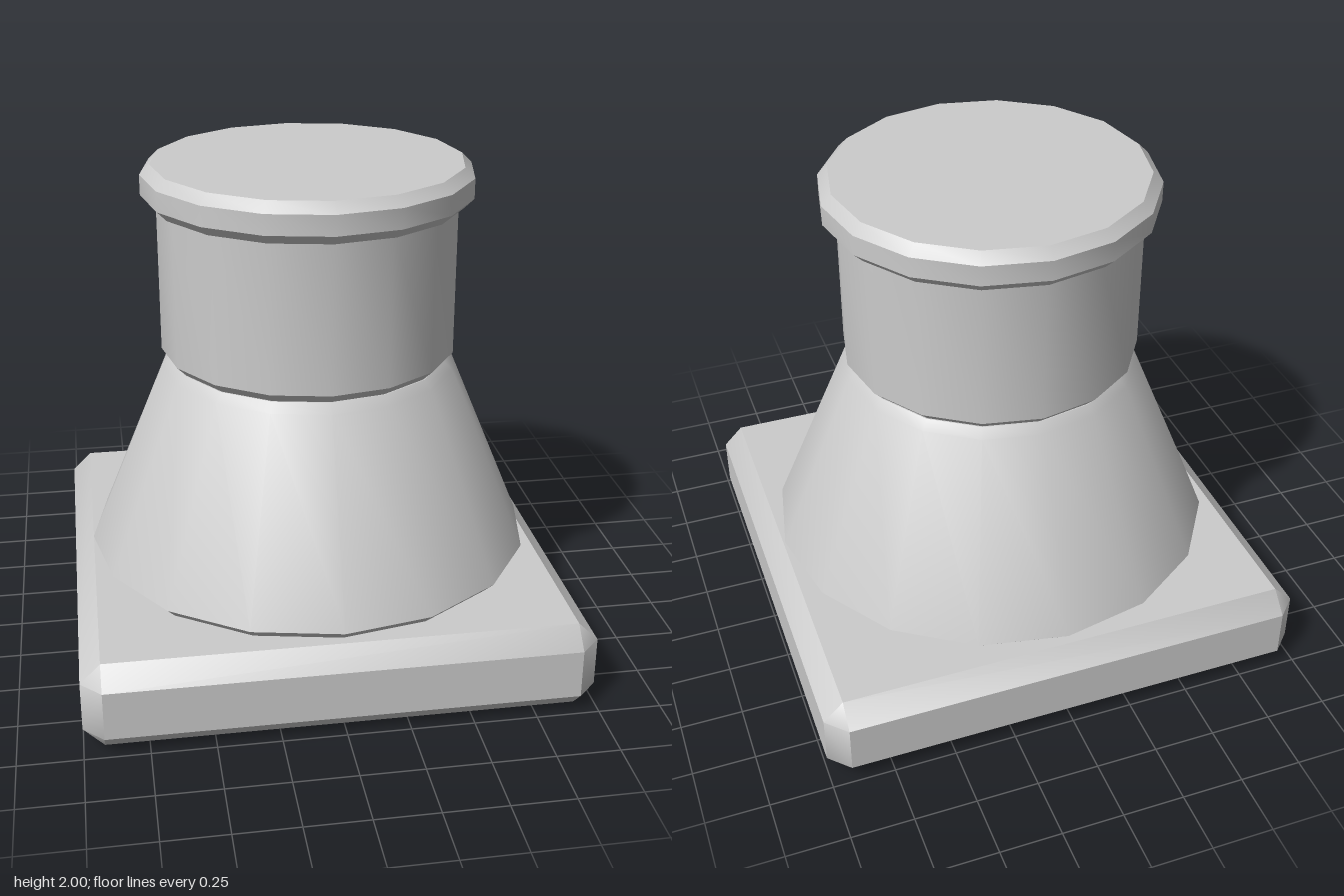
import * as THREE from 'three';
import { toCreasedNormals } from 'three/addons/utils/BufferGeometryUtils.js';
import { ConvexGeometry } from 'three/addons/geometries/ConvexGeometry.js';

const SIDES = 16;
const CREASE = 0.65; // keeps 45 degree bevel edges sharp, smooths around the turn

export function createModel() {
  const group = new THREE.Group();
  const material = new THREE.MeshStandardMaterial({ color: 0xcccccc });

  const add = (name, geometry) => {
    const mesh = new THREE.Mesh(toCreasedNormals(geometry, CREASE), material);
    mesh.name = name;
    group.add(mesh);
    return mesh;
  };

  // Turned solid from [radius, height] pairs, listed bottom to top
  const addTurned = (name, profile) =>
    add(name, new THREE.LatheGeometry(profile.map(([r, y]) => new THREE.Vector2(r, y)), SIDES));

  // Box with every edge and corner cut off by the bevel
  const chamferedBox = (w, h, d, bevel) => {
    const points = [];
    for (const sx of [-1, 1]) for (const sy of [-1, 1]) for (const sz of [-1, 1]) {
      for (let axis = 0; axis < 3; axis++) {
        const p = [w / 2 - bevel, h / 2 - bevel, d / 2 - bevel];
        p[axis] += bevel;
        points.push(new THREE.Vector3(sx * p[0], sy * p[1], sz * p[2]));
      }
    }
    return new ConvexGeometry(points);
  };

  // Square foot
  add('basePlinth', chamferedBox(2, 0.36, 2, 0.08)).position.y = 0.18;

  // Tapered lower body
  addTurned('taperedBody', [[0, 0.36], [0.88, 0.36], [0.92, 0.4], [0.6, 1.165], [0.565, 1.2], [0, 1.2]]);

  // Straight neck, running a little way into the cap
  addTurned('neck', [[0, 1.2], [0.56, 1.2], [0.6, 1.24], [0.6, 1.86], [0, 1.86]]);

  // Bevelled cap
  addTurned('topCap', [[0, 1.84], [0.62, 1.84], [0.66, 1.88], [0.66, 1.96], [0.62, 2], [0, 2]]);

  return group;
}
